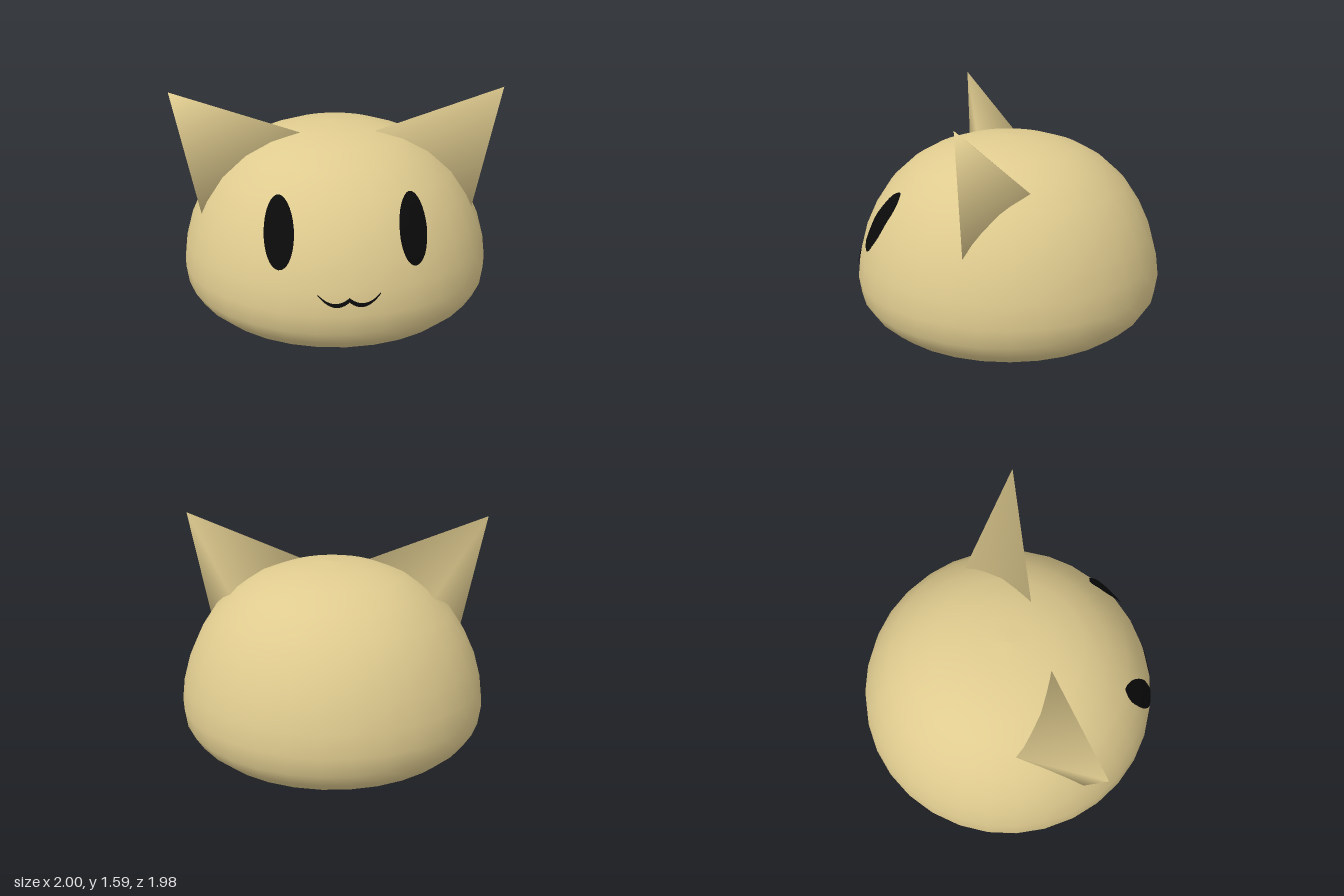
import * as THREE from 'three';

// Body profile as [radius, height], bottom to top
const PROFILE = [
  [0, 0.005], [0.3, 0.026], [0.6, 0.087], [0.74, 0.135], [0.84, 0.185], [0.92, 0.255],
  [0.972, 0.34], [0.988, 0.46], [0.97, 0.6], [0.925, 0.76], [0.855, 0.91], [0.755, 1.06],
  [0.61, 1.19], [0.465, 1.27], [0.3, 1.322], [0.15, 1.343], [0, 1.352],
];

// Body radius at a height on the upper part of the profile
function radiusAt(y) {
  const i = PROFILE.findIndex((p) => p[1] >= y);
  const [r0, y0] = PROFILE[i - 1], [r1, y1] = PROFILE[i];
  return r0 + ((r1 - r0) * (y - y0)) / (y1 - y0);
}

// Moves each vertex by place(x, y) -> [x, y], then lays it on the front of the body
function wrapOnBody(geometry, place, lift) {
  const pos = geometry.attributes.position;
  for (let i = 0; i < pos.count; i++) {
    const [x, y] = place(pos.getX(i), pos.getY(i));
    const r = radiusAt(y) + lift;
    pos.setXYZ(i, x, y, Math.sqrt(r * r - x * x));
  }
  geometry.computeVertexNormals();
  return geometry;
}

// Smooth-shaded four-cornered ear whose base sinks slightly into the body
function earGeometry(side) {
  const tip = new THREE.Vector3(0.998, 1.597, 0.29);
  const roots = [[0.23, 1.32, 0.207], [0.85, 0.85, 0.267], [0.65, 1.16, -0.11]]
    .map((p) => new THREE.Vector3(...p).sub(tip).multiplyScalar(1.07).add(tip));
  const corners = [tip, ...roots].flatMap((p) => [p.x * side, p.y, p.z]);
  const faces = [[0, 1, 2], [0, 3, 1], [1, 3, 2], [0, 2, 3]];
  const geometry = new THREE.BufferGeometry();
  geometry.setAttribute('position', new THREE.Float32BufferAttribute(corners, 3));
  geometry.setIndex(faces.flatMap(([a, b, c]) => (side > 0 ? [a, b, c] : [a, c, b])));
  geometry.computeVertexNormals();
  return geometry;
}

export function createModel() {
  const model = new THREE.Group();
  const tan = new THREE.MeshStandardMaterial({ name: 'tan', color: 0xdfcb8f });
  const black = new THREE.MeshStandardMaterial({ name: 'black', color: 0x0a0a0a });
  black.side = THREE.DoubleSide;

  const add = (name, geometry, material) => {
    const mesh = new THREE.Mesh(geometry, material);
    mesh.name = name;
    model.add(mesh);
  };

  // Squat round body
  add('body', new THREE.LatheGeometry(PROFILE.map((p) => new THREE.Vector2(...p)), 32), tan);

  for (const side of [1, -1]) {
    const label = side > 0 ? 'left' : 'right';
    add(label + 'Ear', earGeometry(side), tan);

    // Tall oval eye, leaning very slightly
    const eye = wrapOnBody(
      new THREE.RingGeometry(0, 1, 32, 5),
      (u, v) => [side * 0.38 + 0.084 * u - side * 0.008 * v, 0.893 + 0.185 * v],
      0.018,
    );
    add(label + 'Eye', eye, black);
  }

  // Double-curved mouth with tapered ends
  const mouth = wrapOnBody(
    new THREE.PlaneGeometry(2, 2, 32, 1),
    (u, v) => {
      const t = Math.abs(u);
      const half = 0.013 - 0.009 * t * t;
      return [u * 0.176, 0.56 - 0.148 * t + 0.176 * t * t + half * v];
    },
    0.008,
  );
  add('mouth', mouth, black);

  return model;
}
